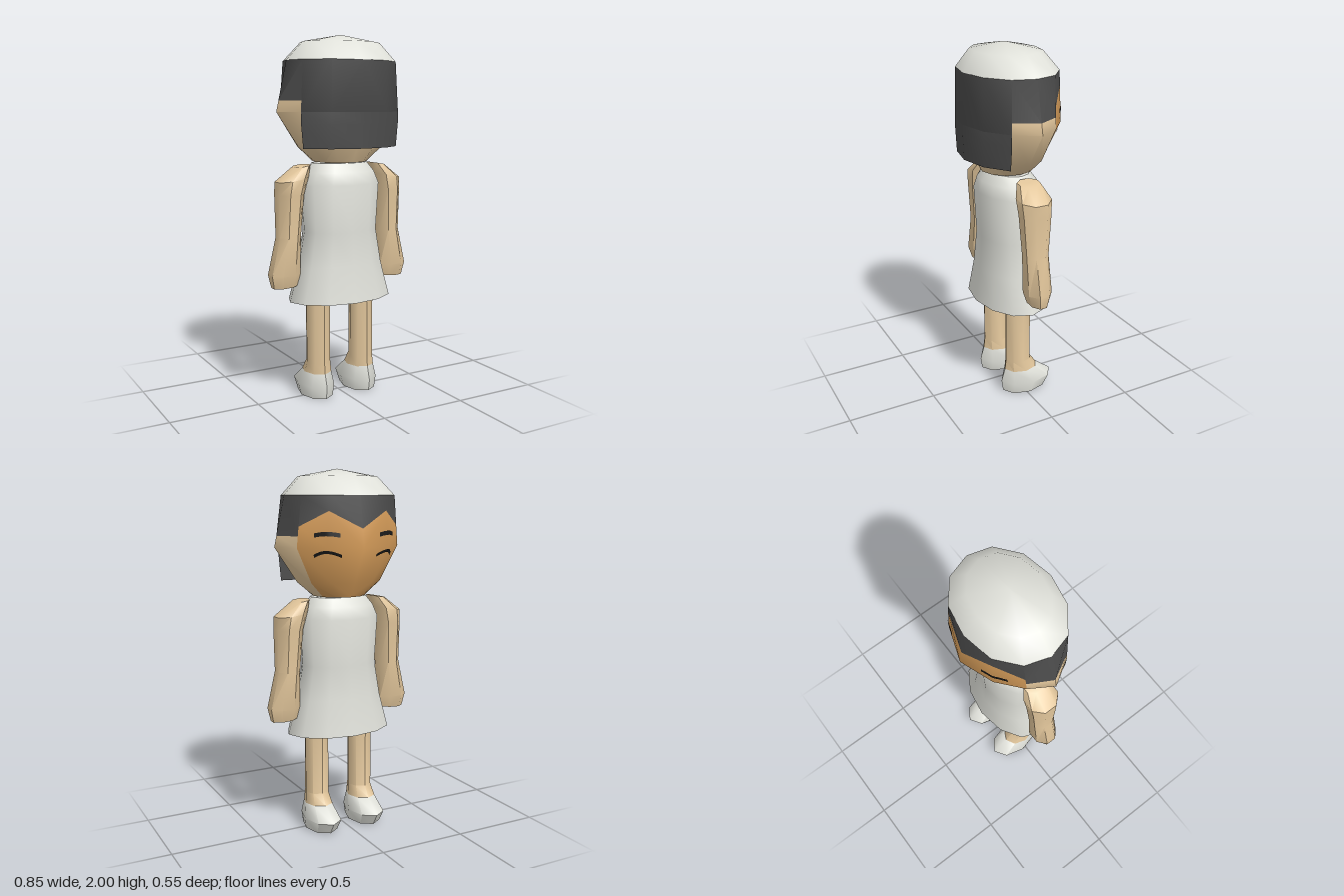
import * as THREE from 'three';
import { toCreasedNormals } from 'three/addons/utils/BufferGeometryUtils.js';

const mat = (name, color) => Object.assign(new THREE.MeshStandardMaterial({ color }), { name });
const V = (x, y, z) => new THREE.Vector3(x, y, z);

// Collects faces, turning each one away from a given inner point
class Surface {
  constructor() { this.pos = []; }
  tri(a, b, c, inner) {
    const n = b.clone().sub(a).cross(c.clone().sub(a));
    if (n.length() < 1e-9) return;
    const out = a.clone().add(b).add(c).divideScalar(3).sub(inner);
    for (const p of n.dot(out) >= 0 ? [a, b, c] : [a, c, b]) this.pos.push(p.x, p.y, p.z);
  }
  quad(a, b, c, d, inner) { this.tri(a, b, c, inner); this.tri(a, c, d, inner); }
}

function toGeometry(surfaces, crease) {
  const g = new THREE.BufferGeometry();
  const all = surfaces.flatMap(s => s.pos);
  g.setAttribute('position', new THREE.Float32BufferAttribute(all, 3));
  let start = 0;
  surfaces.forEach((s, i) => { g.addGroup(start, s.pos.length / 3, i); start += s.pos.length / 3; });
  return toCreasedNormals(g, crease);
}

const centre = ring => ring.reduce((s, p) => s.add(p), V(0, 0, 0)).divideScalar(ring.length);

// Closed body through a list of rings
function loft(name, rings, material, crease = 0.8) {
  const s = new Surface(), mids = rings.map(centre);
  for (let r = 0; r < rings.length - 1; r++) {
    const A = rings[r], B = rings[r + 1], inner = mids[r].clone().lerp(mids[r + 1], 0.5);
    A.forEach((p, i) => { const j = (i + 1) % A.length; s.quad(p, A[j], B[j], B[i], inner); });
  }
  const e = rings.length - 1;
  [[0, 1], [e, e - 1]].forEach(([k, n]) => rings[k].forEach((p, i, R) =>
    s.tri(p, R[(i + 1) % R.length], mids[k], mids[n])));
  const mesh = new THREE.Mesh(toGeometry([s], crease), material);
  mesh.name = name;
  return mesh;
}

// Oval ring; flat turns a side (not a corner) towards x, tilt lowers the +x side
function oval(x, y, z, rx, rz, n, flat = false, tilt = 0) {
  const k = flat ? 1 / Math.cos(Math.PI / n) : 1;
  return Array.from({ length: n }, (_, i) => {
    const a = (i + (flat ? 0.5 : 0)) * 2 * Math.PI / n;
    return V(x + rx * k * Math.cos(a), y - tilt * Math.cos(a), z + rz * k * Math.sin(a));
  });
}

// Head columns from the face (-z) round to the back: [x, z] at each level
const levels = [1.32, 1.4, 1.59, 1.86];
const columns = [
  [[0, -.13], [0, -.175], [0, -.275], [0, -.235]],
  [[.075, -.113], [.12, -.15], [.18, -.21], [.165, -.205]],
  [[.13, -.055], [.21, -.08], [.305, -.105], [.28, -.11]],
  [[.15, .016], [.25, .016], [.38, .016], [.32, .016]],
  [[.13, .09], [.21, .12], [.3, .145], [.285, .14]],
  [[.075, .145], [.12, .18], [.17, .24], [.165, .235]],
  [[0, .165], [0, .21], [0, .275], [0, .267]],
];
function headPoint(t, y, side, grow = 0) {
  const at = k => {
    const i = y < levels[1] ? 0 : y < levels[2] ? 1 : 2;
    const f = (y - levels[i]) / (levels[i + 1] - levels[i]);
    const [p, q] = [columns[k][i], columns[k][i + 1]];
    return V(p[0] + (q[0] - p[0]) * f, y, p[1] + (q[1] - p[1]) * f);
  };
  const k = Math.min(Math.floor(t), 5);
  const p = at(k).lerp(at(k + 1), t - k);
  const out = V(p.x, 0, p.z).normalize().multiplyScalar(grow);
  p.add(out);
  p.x *= side;
  return p;
}

export function createModel() {
  const white = mat('off white', 0xdfe0d9);
  const hair = mat('dark hair', 0x4b4b4b);
  const skin = mat('light skin', 0xe2c69b);
  const face = mat('tan face', 0xd99f5b);
  const ink = mat('black ink', 0x1a1a1a);
  const model = new THREE.Group();
  model.name = 'figure';

  // Head: hair above the hairline, face and skin below
  const hairPart = new Surface(), facePart = new Surface(), skinPart = new Surface();
  const hairline = [[1.69, 1.78], [1.78, 1.7], [1.65, 1.65], [1.65, 1.65], [1.59, 1.59], [1.59, 1.59]];
  const core = V(0, 1.6, 0.016);
  for (const side of [1, -1]) hairline.forEach(([ya, yb], k) => {
    const band = (part, a0, b0, a1, b1) => part.quad(
      headPoint(k, a0, side), headPoint(k + 1, b0, side),
      headPoint(k + 1, b1, side), headPoint(k, a1, side), core);
    band(hairPart, ya, yb, 1.86, 1.86);
    const lower = k < 2 ? facePart : skinPart;
    band(lower, 1.59, 1.59, ya, yb);
    band(lower, 1.4, 1.4, 1.59, 1.59);
    band(lower, 1.32, 1.32, 1.4, 1.4);
    lower.tri(headPoint(k, 1.32, side), headPoint(k + 1, 1.32, side), V(0, 1.32, .016), core);
  });
  const head = new THREE.Mesh(toGeometry([hairPart, facePart, skinPart], 0.9), [hair, face, skin]);
  head.name = 'head';
  model.add(head);

  // Hair hanging at the back
  const backRing = (y, k) => [[.3, .145], [.17, .24], [0, .275], [-.17, .24], [-.3, .145]]
    .map(([x, z]) => V(x * k, y, .145 + (z - .145) * k));
  model.add(loft('backHair', [backRing(1.4, .96), backRing(1.53, 1), backRing(1.59, 1)], hair));

  // Rounded cap
  const capRing = (y, k, dz) => [1, -1].flatMap(s => (s > 0 ? [0, 1, 2, 3, 4, 5] : [6, 5, 4, 3, 2, 1])
    .map(t => { const p = headPoint(t, 1.86, s); return V(p.x * k, y, .018 + (p.z - .018) * k + dz); }));
  model.add(loft('cap', [capRing(1.86, 1, 0), capRing(1.96, .7, .005), capRing(2, .01, .012)], white, 1.2));

  // Brows and closed eyes
  const stroke = (name, t0, t1, curve, h, side) => {
    const s = new Surface(), steps = 10;
    for (let i = 0; i < steps; i++) {
      const corner = (j, up) => {
        const u = j / steps;
        return headPoint(t0 + (t1 - t0) * u, curve(u) + up * h, side, .005);
      };
      s.quad(corner(i, 0), corner(i + 1, 0), corner(i + 1, 1), corner(i, 1), core);
    }
    const mesh = new THREE.Mesh(toGeometry([s], 0.9), ink);
    mesh.name = name;
    model.add(mesh);
  };
  for (const side of [1, -1]) {
    stroke('brow', .65, 1.45, u => 1.645 + .008 * Math.sin(Math.PI * u), .022, side);
    stroke('eye', .6, 1.5, u => 1.54 + .022 * Math.sin(Math.PI * u), .016, side);
  }

  // Neck and dress
  model.add(loft('neck', [oval(0, 1.28, .016, .11, .09, 12), oval(0, 1.33, .016, .11, .09, 12)], skin));
  const dress = [[.555, .31, .198], [.75, .255, .168], [.94, .22, .155],
    [1.2, .235, .167], [1.265, .205, .15], [1.315, .165, .112]];
  model.add(loft('dress', dress.map(([y, rx, rz]) => oval(0, y, .0175, rx, rz, 12)), white));

  // Arms, legs and shoes, built once and mirrored
  const armRings = [[.235, 1.302, .045, .06, .008], [.292, 1.232, .085, .088, .015],
    [.307, 1.15, .073, .082, 0], [.315, .92, .063, .066, 0],
    [.341, .715, .084, .07, 0], [.34, .646, .07, .048, .004]];
  const shoeRings = [[0, -.02, .088, .135], [.065, -.035, .1, .16], [.14, .002, .078, .1]];
  const legRings = [[.14, .002, .078, .1], [.2, .02, .068, .075], [.62, .02, .068, .075]];
  for (const side of [1, -1]) {
    model.add(loft('arm', armRings.map(([x, y, rx, rz, t]) =>
      oval(side * x, y, .012, rx, rz, 8, true, side * t)), skin));
    const limb = rings => rings.map(([y, z, rx, rz]) => oval(side * .138, y, z, rx, rz, 8));
    model.add(loft('shoe', limb(shoeRings), white, 0.9));
    model.add(loft('leg', limb(legRings), skin));
  }
  return model;
}
